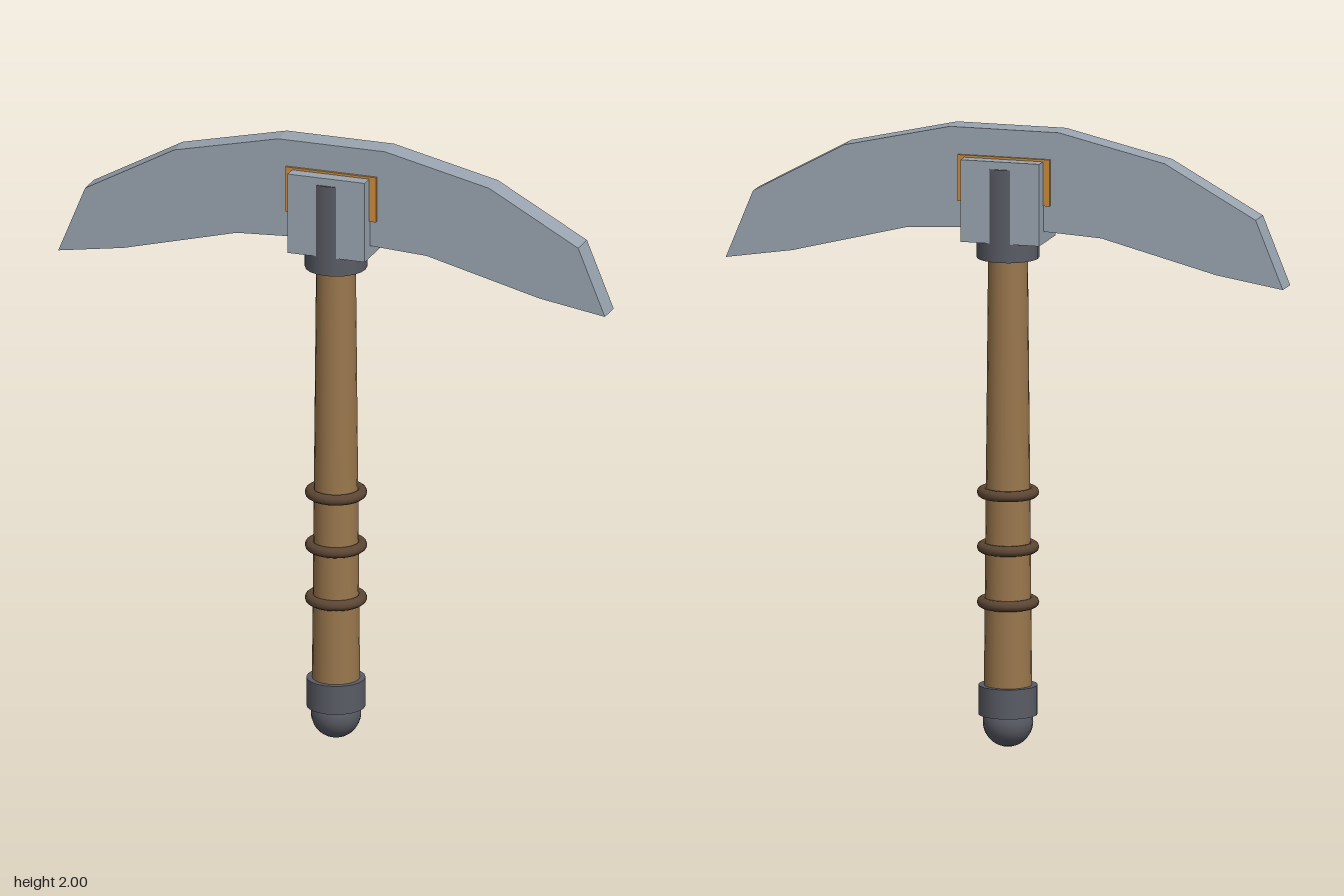
import * as THREE from 'three';

const mat = (name, color) => Object.assign(new THREE.MeshStandardMaterial({ color }), { name });

export function createModel() {
  const group = new THREE.Group();
  const steel = mat('steel', 0x9aa5b1);
  const iron = mat('dark iron', 0x5a5c65);
  const wood = mat('wood', 0x9a774d);
  const leather = mat('leather', 0x5c4634);
  const brass = mat('brass', 0xcb8c3c);

  const add = (name, geometry, material, y = 0) => {
    const mesh = new THREE.Mesh(geometry, material);
    mesh.name = name;
    mesh.position.y = y;
    group.add(mesh);
    return mesh;
  };
  // upright cylinder between two heights
  const column = (name, rTop, rBottom, y0, y1, material) =>
    add(name, new THREE.CylinderGeometry(rTop, rBottom, y1 - y0, 20), material, (y0 + y1) / 2);

  // handle with pommel
  column('handle', 0.062, 0.077, 0.12, 1.7, wood);
  column('pommelCollar', 0.094, 0.094, 0.105, 0.2, iron);
  add('pommel', new THREE.SphereGeometry(0.08, 20, 14), iron, 0.08);

  // grip rings
  for (const y of [0.467, 0.645, 0.822]) {
    add('gripRing', new THREE.TorusGeometry(0.082, 0.017, 10, 24).rotateX(Math.PI / 2), leather, y);
  }

  // curved head: half outline, mirrored
  const half = [[0.18, 2], [0.53, 1.92], [0.83, 1.755], [0.92, 1.535], [0.7, 1.57], [0.32, 1.667]];
  const outline = [
    ...half.map(([x, y]) => new THREE.Vector2(x, y)),
    new THREE.Vector2(0, 1.685),
    ...half.map(([x, y]) => new THREE.Vector2(-x, y)).reverse(),
  ];
  const head = new THREE.ExtrudeGeometry(new THREE.Shape(outline), { depth: 0.082, bevelEnabled: false });
  add('head', head.translate(0, 0, -0.041), steel);

  // socket block, ferrule showing through it, and brass band
  add('socketBlock', new THREE.BoxGeometry(0.26, 0.265, 0.185), steel, 1.7725);
  column('ferrule', 0.099, 0.099, 1.58, 1.88, iron);
  add('brassBand', new THREE.BoxGeometry(0.304, 0.15, 0.1), brass, 1.837);

  return group;
}
